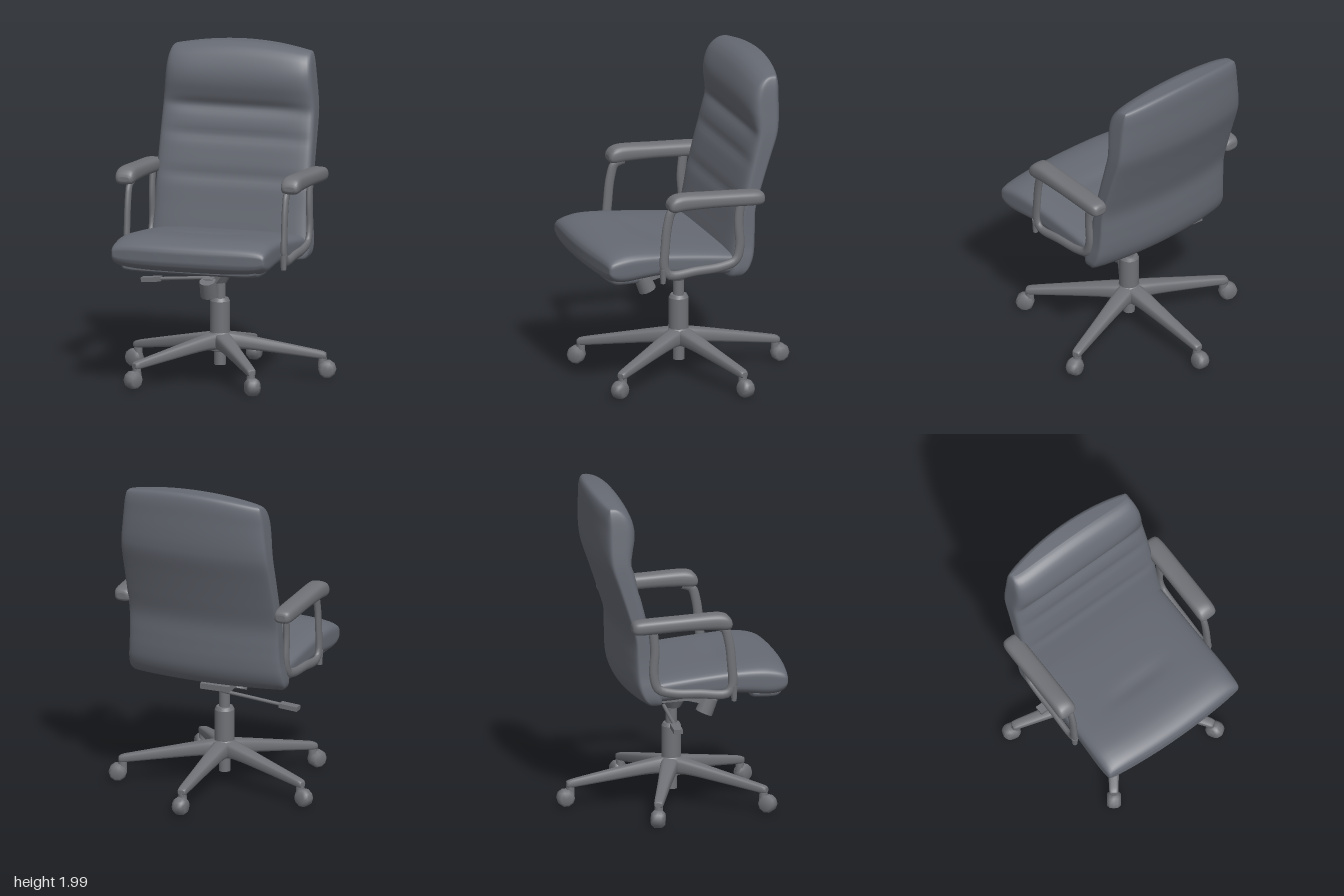
import * as THREE from 'three';

const leather = new THREE.MeshStandardMaterial({ color: 0x666a73 });
const plastic = new THREE.MeshStandardMaterial({ color: 0x6f7176 });

function add(parent, name, geometry, material, x = 0, y = 0, z = 0) {
  const mesh = new THREE.Mesh(geometry, material);
  mesh.name = name;
  mesh.position.set(x, y, z);
  parent.add(mesh);
  return mesh;
}

// Smooth interpolation through rows of numbers
function sample(keys, u) {
  const f = u * (keys.length - 1), i = Math.min(Math.floor(f), keys.length - 2), t = f - i;
  const k = (j) => keys[Math.max(0, Math.min(keys.length - 1, j))];
  return keys[i].map((b, c) => {
    const a = k(i - 1)[c], d = k(i + 1)[c], e = k(i + 2)[c];
    return b + 0.5 * t * (d - a + t * (2 * a - 5 * b + 4 * d - e + t * (3 * (b - d) + e - a)));
  });
}

// Rounded-rectangle sections along an axis; each key is [position, low, high, half width].
// alongZ: sections stand in x-y and run along z, otherwise they lie in x-z and run up y.
function loft(keys, { steps, side, power, alongZ = false, warp = null }) {
  const pos = [], index = [], n = side * 4;
  for (let r = 0; r <= steps; r++) {
    const [t, lo, hi, w] = sample(keys, r / steps);
    for (let i = 0; i < n; i++) {
      const s = (i % side) / side * 2 - 1;
      const [a, b] = [[s, -1], [1, s], [-s, 1], [-1, -s]][Math.floor(i / side)];
      const m = (Math.abs(a) ** power + Math.abs(b) ** power) ** (1 / power);
      const p = { x: a / m * w, t, b: (lo + hi) / 2 + b / m * (hi - lo) / 2 };
      if (warp) warp(p, a / m, b / m);
      if (alongZ) pos.push(p.x, p.b, p.t);
      else pos.push(p.x, p.t, p.b);
    }
  }
  const quad = (a, b, c, d) => (alongZ ? index.push(a, b, c, a, c, d) : index.push(a, c, b, a, d, c));
  for (let r = 0; r < steps; r++) {
    for (let i = 0; i < n; i++) {
      const a = r * n + i, b = r * n + (i + 1) % n;
      quad(a, b, b + n, a + n);
    }
  }
  // End caps: zip both halves of the ring together
  const mid = side * 3.5, last = n * steps;
  for (let k = 0; k < n / 2; k++) {
    const [a, b, c, d] = [mid + k, mid + k + 1, mid - k - 1, mid - k].map((i) => (i + n) % n);
    quad(d, c, b, a);
    quad(last + a, last + b, last + c, last + d);
  }
  const g = new THREE.BufferGeometry();
  g.setAttribute('position', new THREE.Float32BufferAttribute(pos, 3));
  g.setIndex(index);
  g.computeVertexNormals();
  return g;
}

const cylinder = (top, bottom, h, sides = 20) => new THREE.CylinderGeometry(top, bottom, h, sides);
const tube = (points, radius) => new THREE.TubeGeometry(
  new THREE.CatmullRomCurve3(points.map((p) => new THREE.Vector3(...p))), 48, radius, 10);

function buildBackrest(group) {
  const keys = [
    [0.728, -0.22, -0.12, 0.46], [0.738, -0.255, -0.11, 0.49], [0.775, -0.295, -0.11, 0.506],
    [0.84, -0.325, -0.12, 0.505], [0.92, -0.337, -0.135, 0.497], [1.02, -0.34, -0.155, 0.492],
    [1.15, -0.345, -0.18, 0.49], [1.3, -0.39, -0.215, 0.488], [1.45, -0.44, -0.252, 0.486],
    [1.58, -0.485, -0.283, 0.483], [1.66, -0.5, -0.288, 0.478], [1.75, -0.505, -0.28, 0.47],
    [1.85, -0.505, -0.282, 0.462], [1.92, -0.505, -0.3, 0.455], [1.965, -0.5, -0.33, 0.447],
    [1.99, -0.49, -0.365, 0.438], [2.0, -0.475, -0.395, 0.425],
  ];
  const bump = (v, c, s) => Math.exp(-(((v - c) / s) ** 2));
  const warp = (p, q, s) => {
    const y = p.t, inner = Math.max(0, 1 - Math.abs(q) ** 5);
    // Bowed rear, cushioned front with a headrest roll and stitched channels
    if (s < 0) p.b -= 0.05 * q * q * s;
    else p.b += s * inner * (0.018 * bump(y, 1.78, 0.1) - 0.022 * bump(y, 1.61, 0.04)
      - 0.012 * bump(y, 1.44, 0.035) - 0.01 * bump(y, 1.2, 0.035));
    p.t -= 0.04 * q * q * THREE.MathUtils.smoothstep(y, 1.7, 2);
  };
  add(group, 'backrest', loft(keys, { steps: 96, side: 16, power: 7, warp }), leather);
}

function buildSeat(group) {
  const keys = [
    [-0.26, 0.77, 0.84, 0.44], [-0.22, 0.735, 0.87, 0.48], [-0.1, 0.735, 0.895, 0.485],
    [0.1, 0.75, 0.92, 0.485], [0.3, 0.765, 0.94, 0.485], [0.42, 0.758, 0.95, 0.488],
    [0.52, 0.748, 0.952, 0.49], [0.59, 0.748, 0.943, 0.49], [0.64, 0.762, 0.927, 0.489],
    [0.668, 0.785, 0.907, 0.486], [0.68, 0.81, 0.885, 0.478], [0.683, 0.825, 0.87, 0.468],
  ];
  const warp = (p, q, s) => {
    p.t -= 0.03 * q * q * THREE.MathUtils.smoothstep(p.t, 0.3, 0.68);
    if (s > 0) p.b -= 0.01 * s * Math.exp(-((p.t - 0.28) ** 2) / 0.002) * Math.max(0, 1 - 4 * q * q);
  };
  add(group, 'seat', loft(keys, { steps: 66, side: 14, power: 5, alongZ: true, warp }), leather);
  const lip = [[0.44, 0.74, 0.8, 0.42], [0.46, 0.732, 0.8, 0.44], [0.58, 0.732, 0.8, 0.44], [0.62, 0.75, 0.8, 0.42]];
  add(group, 'seatFrontPad', loft(lip, { steps: 12, side: 6, power: 5, alongZ: true }), leather);
}

function buildArm(group, sign) {
  const arm = new THREE.Group();
  arm.name = sign > 0 ? 'leftArm' : 'rightArm';
  arm.position.x = sign * 0.5;
  group.add(arm);
  const pad = [
    [-0.32, 1.215, 1.25, 0.03], [-0.31, 1.2, 1.268, 0.046], [-0.28, 1.193, 1.28, 0.057],
    [-0.2, 1.195, 1.287, 0.06], [0, 1.205, 1.297, 0.06], [0.18, 1.205, 1.307, 0.06],
    [0.25, 1.2, 1.3, 0.06], [0.283, 1.207, 1.275, 0.053], [0.295, 1.225, 1.25, 0.035],
  ];
  add(arm, 'armPad', loft(pad, { steps: 40, side: 6, power: 3, alongZ: true }), plastic, sign * 0.026);
  // Flattened bent frame: front post, side rail and rear post in one loop
  const frame = add(arm, 'armFrame', tube([
    [0, 1.22, 0.2], [0, 1.2, 0.255], [0, 1.12, 0.283], [0, 0.98, 0.3], [0, 0.83, 0.303],
    [0, 0.792, 0.27], [0, 0.8, 0.1], [0, 0.81, -0.06], [0, 0.84, -0.15], [0, 0.92, -0.178],
    [0, 1.08, -0.172], [0, 1.22, -0.185],
  ], 0.029), plastic);
  frame.scale.x = 0.65;
  add(arm, 'armBracket', cylinder(0.022, 0.016, 0.09, 10), plastic, 0, 0.79, 0.315);
}

function buildMechanism(group) {
  add(group, 'seatPlate', new THREE.BoxGeometry(0.42, 0.03, 0.36), plastic, 0, 0.735, 0.08);
  add(group, 'mountBlock', cylinder(0.1, 0.08, 0.05), plastic, 0, 0.7, 0.05);
  const plate = add(group, 'tiltPlate', new THREE.BoxGeometry(0.19, 0.035, 0.29), plastic, 0, 0.665, 0.025);
  plate.rotation.x = -0.04;
  add(group, 'tiltHousing', cylinder(0.085, 0.045, 0.07), plastic, 0, 0.63, 0.04);
  const arm = add(group, 'tensionArm', new THREE.BoxGeometry(0.06, 0.05, 0.16), plastic, 0, 0.645, 0.18);
  arm.rotation.x = 0.25;
  const knob = add(group, 'tensionKnob', cylinder(0.05, 0.055, 0.1, 12), plastic, 0, 0.595, 0.25);
  knob.rotation.x = 0.4;
  add(group, 'leverRod', tube([[-0.02, 0.61, -0.02], [-0.2, 0.597, -0.025], [-0.43, 0.578, -0.03]], 0.011), plastic);
  const paddle = add(group, 'leverPaddle', new THREE.BoxGeometry(0.12, 0.028, 0.055), plastic, -0.455, 0.576, -0.03);
  paddle.rotation.z = 0.08;
}

function buildBase(group) {
  const base = new THREE.Group();
  base.name = 'base';
  base.position.z = 0.025;
  group.add(base);
  const profile = [[0, 0.09], [0.035, 0.09], [0.035, 0.17], [0.065, 0.18], [0.075, 0.27], [0.06, 0.29],
    [0.06, 0.48], [0.05, 0.5], [0.034, 0.5], [0.034, 0.64], [0, 0.64]];
  // Doubled points keep the shoulders of the column crisp
  const crisp = profile.flatMap(([r, y]) => [new THREE.Vector2(r, y), new THREE.Vector2(r, y)]);
  add(base, 'gasColumn', new THREE.LatheGeometry(crisp, 24), plastic, 0, 0, 0.005);
  const legKeys = [[0, 0.175, 0.295, 0.055], [0.12, 0.188, 0.275, 0.05], [0.35, 0.16, 0.228, 0.038],
    [0.57, 0.13, 0.182, 0.03], [0.625, 0.125, 0.168, 0.027], [0.64, 0.13, 0.158, 0.02]];
  const legGeometry = loft(legKeys, { steps: 20, side: 4, power: 4, alongZ: true });
  const wheelProfile = [[0, -0.042], [0.038, -0.042], [0.054, -0.024], [0.056, 0], [0.054, 0.024],
    [0.038, 0.042], [0, 0.042]].map(([r, y]) => new THREE.Vector2(r, y));
  const wheelGeometry = new THREE.LatheGeometry(wheelProfile, 10);
  for (let i = 0; i < 5; i++) {
    const spoke = new THREE.Group();
    spoke.name = 'spoke' + (i + 1);
    spoke.rotation.y = Math.PI + i * Math.PI * 2 / 5;
    base.add(spoke);
    add(spoke, 'leg', legGeometry, plastic);
    add(spoke, 'casterStem', cylinder(0.024, 0.028, 0.08, 12), plastic, 0, 0.115, 0.617);
    add(spoke, 'casterWheel', wheelGeometry, plastic, 0, 0.062, 0.645).rotation.z = Math.PI / 2;
  }
}

export function createModel() {
  const chair = new THREE.Group();
  chair.name = 'officeChair';
  buildBackrest(chair);
  buildSeat(chair);
  for (const sign of [1, -1]) buildArm(chair, sign);
  buildMechanism(chair);
  buildBase(chair);
  return chair;
}
